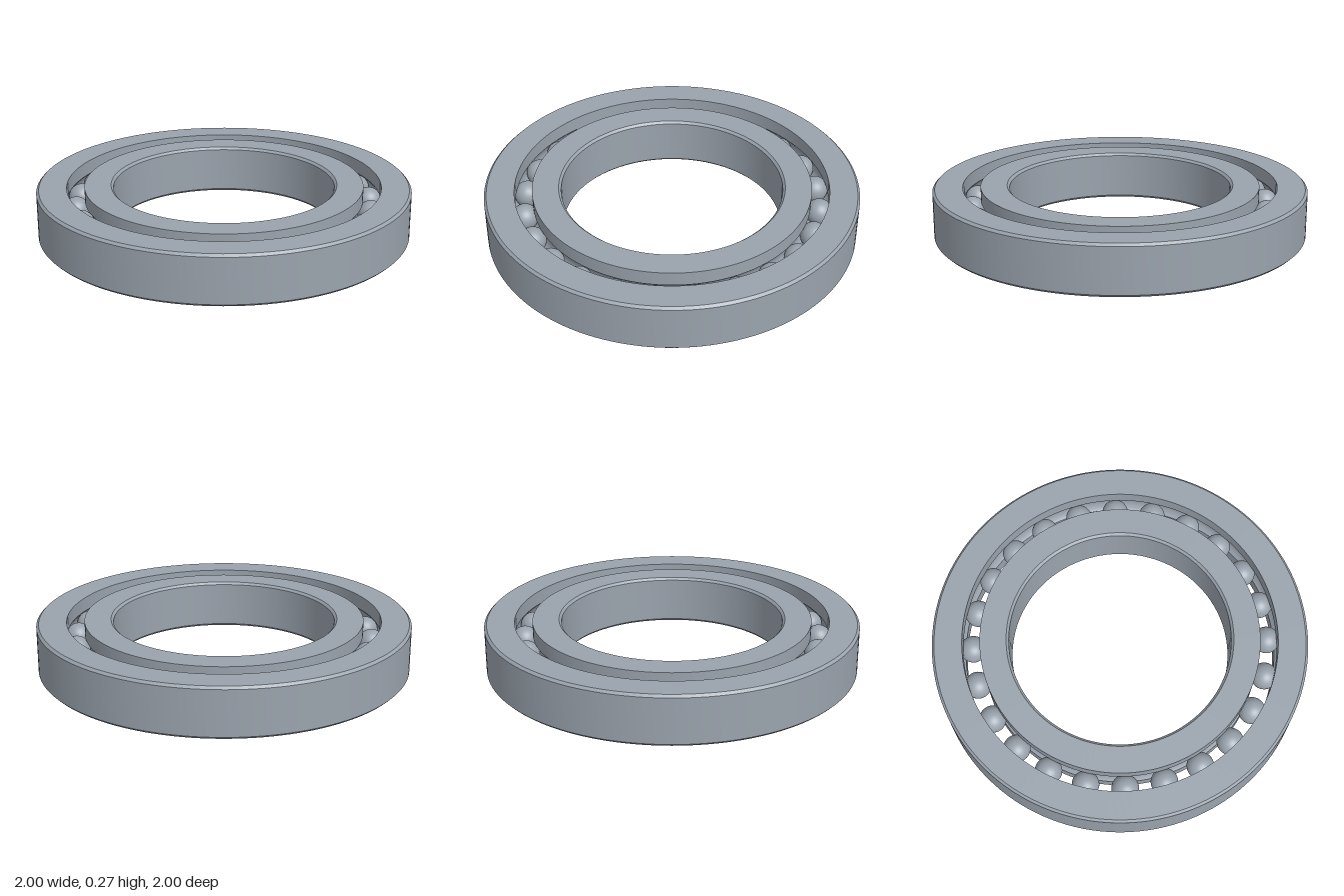
import * as THREE from 'three';
import { toCreasedNormals } from 'three/addons/utils/BufferGeometryUtils.js';

const HEIGHT = 0.267, MID = HEIGHT / 2, CHAMFER = 0.013;
const BALLS = 24, BALL_R = 0.072, PITCH_R = 0.793, GROOVE_R = 0.0735;

// Circular raceway arc on a wall at the given radius; dir +1 runs up, -1 runs down
function raceway(wall, dir) {
  const side = Math.sign(wall - PITCH_R);
  const half = Math.acos(Math.abs(wall - PITCH_R) / GROOVE_R);
  const points = [];
  for (let i = 0; i <= 14; i++) {
    const a = dir * half * (i / 7 - 1);
    points.push([PITCH_R + side * GROOVE_R * Math.cos(a), MID + GROOVE_R * Math.sin(a)]);
  }
  return points;
}

// Closed counter-clockwise profile turned around the y axis
function turnedRing(name, profile, material) {
  const points = [...profile, profile[0]].map(([r, y]) => new THREE.Vector2(r, y));
  const geometry = toCreasedNormals(new THREE.LatheGeometry(points, 144), 0.45);
  const mesh = new THREE.Mesh(geometry, material);
  mesh.name = name;
  return mesh;
}

export function createModel() {
  const group = new THREE.Group();
  group.name = 'ballBearing';
  const steel = new THREE.MeshStandardMaterial({ color: 0x9aa3ad });
  steel.name = 'steel grey';

  // Outer ring: chamfered outside, raceway inside
  const outer = 1, outerWall = 0.84;
  group.add(turnedRing('outerRing', [
    [outerWall, 0], [outer - CHAMFER, 0], [outer, CHAMFER],
    [outer, HEIGHT - CHAMFER], [outer - CHAMFER, HEIGHT], [outerWall, HEIGHT],
    ...raceway(outerWall, -1),
  ], steel));

  // Inner ring: raceway outside, chamfered bore
  const bore = 0.592, innerWall = 0.746;
  group.add(turnedRing('innerRing', [
    [bore + CHAMFER, 0], [innerWall, 0],
    ...raceway(innerWall, 1),
    [innerWall, HEIGHT], [bore + CHAMFER, HEIGHT],
    [bore, HEIGHT - CHAMFER], [bore, CHAMFER],
  ], steel));

  // Balls spaced evenly between the raceways
  const balls = new THREE.Group();
  balls.name = 'balls';
  const ballGeometry = new THREE.SphereGeometry(BALL_R, 32, 20);
  for (let i = 0; i < BALLS; i++) {
    const a = (i / BALLS) * Math.PI * 2 + 0.056;
    const ball = new THREE.Mesh(ballGeometry, steel);
    ball.name = 'ball';
    ball.position.set(PITCH_R * Math.cos(a), MID, -PITCH_R * Math.sin(a));
    balls.add(ball);
  }
  group.add(balls);
  return group;
}
